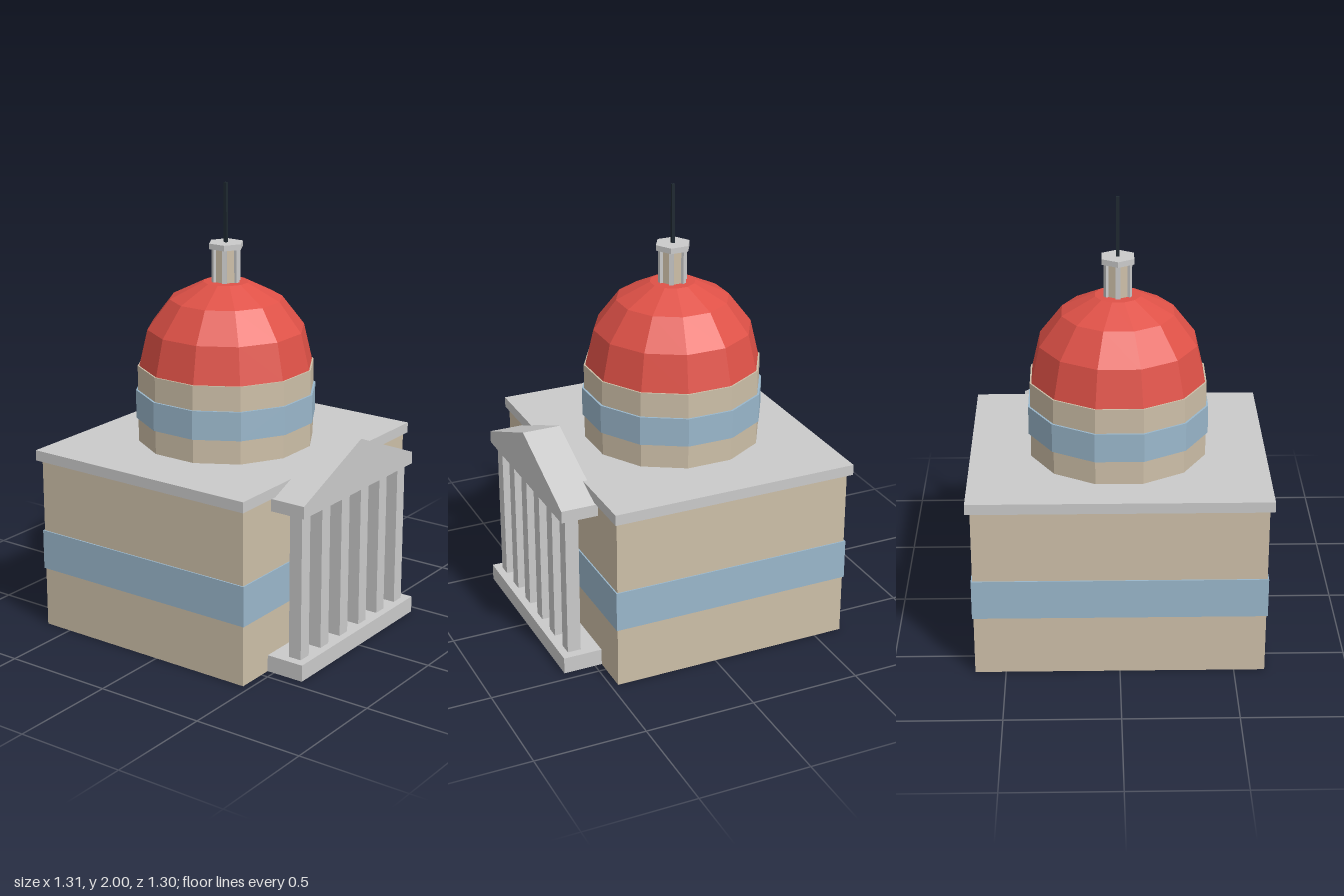
import * as THREE from 'three';

const mat = (name, color, flat = true) => {
  const m = new THREE.MeshStandardMaterial({ color, flatShading: flat });
  m.name = name;
  return m;
};

export function createModel() {
  const stone = mat('sandstone', 0xcdbfa8);
  const trim = mat('grey trim', 0xcacaca);
  const glass = mat('blue glazing', 0x9ab7cb);
  const red = mat('red roof', 0xdf5147);
  const dark = mat('dark metal', 0x1e2830);

  const group = new THREE.Group();
  const add = (name, geometry, material, parent = group) => {
    const mesh = new THREE.Mesh(geometry, material);
    mesh.name = name;
    parent.add(mesh);
    return mesh;
  };
  // Box given by its extents
  const box = (name, material, x0, x1, y0, y1, z0, z1, parent) => {
    const mesh = add(name, new THREE.BoxGeometry(x1 - x0, y1 - y0, z1 - z0), material, parent);
    mesh.position.set((x0 + x1) / 2, (y0 + y1) / 2, (z0 + z1) / 2);
    return mesh;
  };

  // Main block with window band and roof slab
  box('mainBlock', stone, -0.635, 0.635, 0, 0.79, -0.63, 0.468);
  box('windowBand', glass, -0.641, 0.641, 0.275, 0.457, -0.636, 0.474);
  box('roofSlab', trim, -0.655, 0.655, 0.79, 0.838, -0.65, 0.481);

  // Portico: plinth, square columns and pediment
  const portico = new THREE.Group();
  portico.name = 'portico';
  group.add(portico);
  box('plinth', trim, -0.454, 0.454, 0, 0.075, 0.46, 0.645, portico);
  for (let i = 0; i < 6; i++) {
    const x = (i - 2.5) * 0.153;
    box('column', trim, x - 0.031, x + 0.031, 0.075, 0.74, 0.55, 0.611, portico);
  }
  const gable = new THREE.Shape([
    [-0.437, 0.73], [0.437, 0.73], [0.437, 0.785], [0, 0.965], [-0.437, 0.785],
  ].map(([x, y]) => new THREE.Vector2(x, y)));
  const pediment = add('pediment',
    new THREE.ExtrudeGeometry(gable, { depth: 0.172, bevelEnabled: false }), trim, portico);
  pediment.position.z = 0.463;

  // Tower, centred on its own axis
  const tower = new THREE.Group();
  tower.name = 'tower';
  tower.position.z = -0.083;
  group.add(tower);
  const prism = (name, material, apothem, sides, y0, y1, turn = 0) => {
    const r = apothem / Math.cos(Math.PI / sides);
    const mesh = add(name, new THREE.CylinderGeometry(r, r, y1 - y0, sides), material, tower);
    mesh.position.y = (y0 + y1) / 2;
    mesh.rotation.y = turn;
    return mesh;
  };
  const turn = Math.PI / 12;
  prism('drum', stone, 0.385, 12, 0.83, 1.188, turn);
  prism('drumWindowBand', glass, 0.394, 12, 0.947, 1.077, turn);

  // Faceted dome
  const scale = 1 / Math.cos(turn);
  const profile = [[0.378, 1.188], [0.341, 1.352], [0.243, 1.485], [0.098, 1.56], [0, 1.561]]
    .map(([a, y]) => new THREE.Vector2(a * scale, y));
  add('dome', new THREE.LatheGeometry(profile, 12), red, tower).rotation.y = turn;

  // Lantern with corner posts, cap and spire
  prism('lantern', stone, 0.05, 6, 1.555, 1.712);
  for (let i = 0; i < 6; i++) {
    const a = (i * Math.PI) / 3;
    const post = add('lanternPost', new THREE.BoxGeometry(0.02, 0.157, 0.02), trim, tower);
    post.position.set(0.055 * Math.sin(a), 1.6335, 0.055 * Math.cos(a));
    post.rotation.y = a;
  }
  prism('lanternCap', trim, 0.07, 6, 1.71, 1.735);
  box('spire', dark, -0.007, 0.007, 1.735, 2, -0.007, 0.007, tower);

  return group;
}
